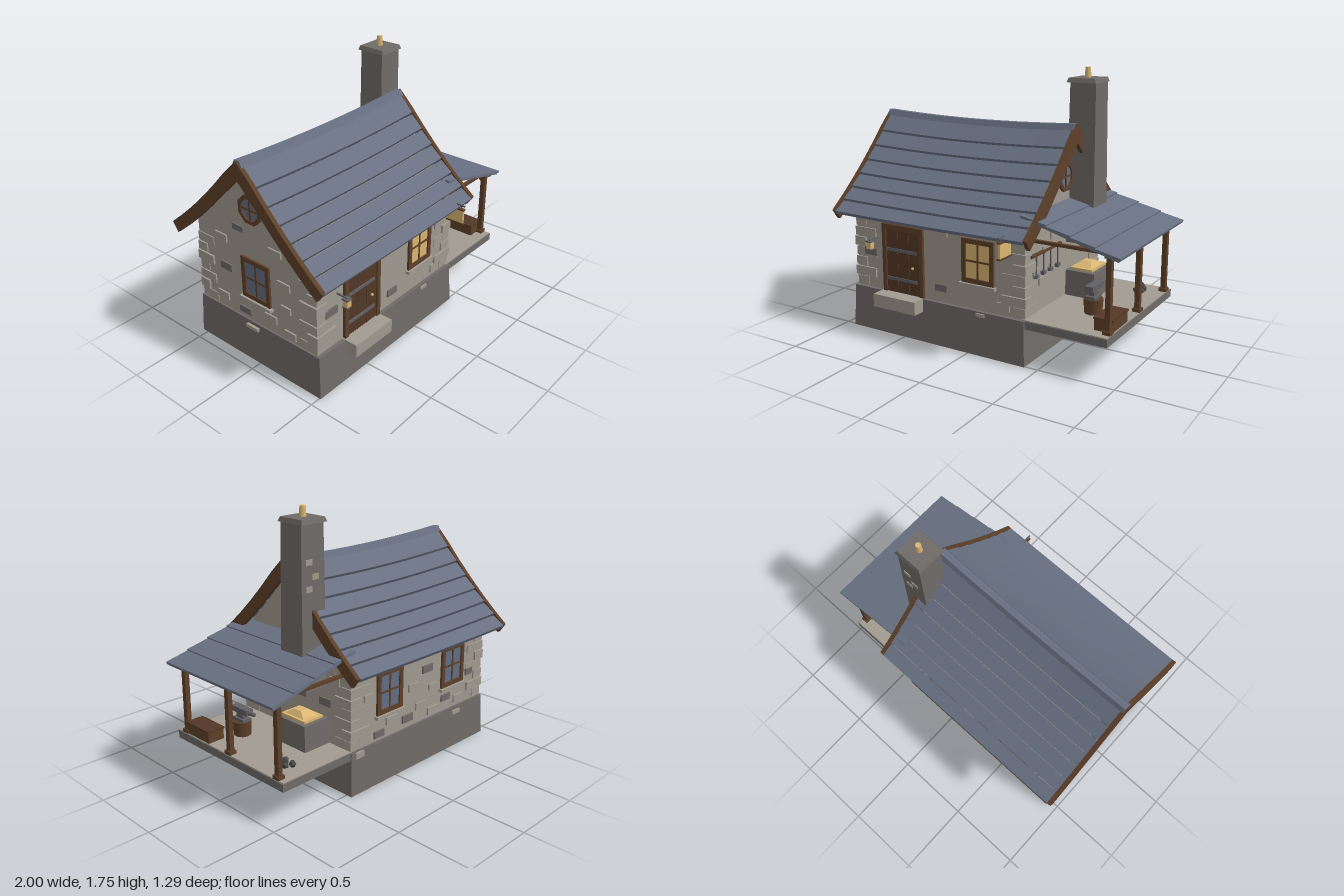
import * as THREE from 'three';

const mat = (name, color, side = THREE.FrontSide) => {
  const m = new THREE.MeshStandardMaterial({ color, side });
  m.name = name;
  return m;
};

export function createModel() {
  const plaster = mat('pale wall', 0xa19b90), stone = mat('dark stone', 0x6f6b68, THREE.DoubleSide);
  const slate = mat('blue slate', 0x687082), wood = mat('oak', 0x5e402a), door = mat('dark oak', 0x523726);
  const iron = mat('iron', 0x616164), gold = mat('warm yellow', 0xdab672), glass = mat('blue glass', 0x626d84);
  const coal = mat('coal', 0x48484b);
  const root = new THREE.Group();
  root.name = 'stoneForgeCottage';

  const group = (name, parent = root, x = 0, y = 0, z = 0, ry = 0) => {
    const g = new THREE.Group();
    g.name = name;
    g.position.set(x, y, z);
    g.rotation.y = ry;
    parent.add(g);
    return g;
  };
  const add = (name, geo, m, parent = root, x = 0, y = 0, z = 0) => {
    const o = new THREE.Mesh(geo, m);
    o.name = name;
    o.position.set(x, y, z);
    parent.add(o);
    return o;
  };
  const box = (name, m, parent, x, y, z, w, h, d) => add(name, new THREE.BoxGeometry(w, h, d), m, parent, x, y, z);
  // box given by its limits
  const span = (name, m, x0, x1, y0, y1, z0, z1) =>
    box(name, m, root, (x0 + x1) / 2, (y0 + y1) / 2, (z0 + z1) / 2, x1 - x0, y1 - y0, z1 - z0);
  const warp = (geo, fn) => {
    const p = geo.attributes.position, v = new THREE.Vector3();
    for (let i = 0; i < p.count; i++) {
      fn(v.fromBufferAttribute(p, i));
      p.setXYZ(i, v.x, v.y, v.z);
    }
    geo.computeVertexNormals();
    return geo;
  };
  // block whose top is scaled by sx and sz
  const taper = (w, h, d, sx, sz) => warp(new THREE.BoxGeometry(w, h, d), v => {
    if (v.y > 0) { v.x *= sx; v.z *= sz; }
  });
  // bar between two points
  const bar = (name, m, parent, a, b, t) => {
    const A = new THREE.Vector3(...a), B = new THREE.Vector3(...b);
    const o = box(name, m, parent, 0, 0, 0, t, t, A.distanceTo(B));
    o.position.copy(A).add(B).multiplyScalar(0.5);
    o.quaternion.setFromUnitVectors(new THREE.Vector3(0, 0, 1), B.sub(A).normalize());
  };

  // foundation, open underneath
  const base = taper(1.34, 0.285, 1.05, 0.982, 0.976);
  const idx = Array.from(base.index.array);
  base.setIndex([...idx.slice(0, 18), ...idx.slice(24)]);
  base.clearGroups();
  add('foundation', base, stone, root, -0.26, 0.1425, -0.015);
  span('floor', stone, -0.91, 0.39, 0.225, 0.24, -0.52, 0.49);
  span('doorStep', plaster, -0.69, -0.352, 0.2, 0.287, 0.43, 0.585);
  span('foundationStone', plaster, 0.06, 0.12, 0.255, 0.275, 0.48, 0.508);
  span('foundationStone', plaster, -0.938, -0.9, 0.24, 0.262, -0.1, 0);
  span('foundationStone', plaster, -0.66, -0.58, 0.235, 0.262, -0.541, -0.5);
  span('foundationStone', plaster, 0.3, 0.37, 0.24, 0.28, -0.541, -0.5);

  // walls with gables follow the roof curve
  const CX = -0.2575, CZ = -0.02, HW = 0.648, HD = 0.492, EAVE = 0.625;
  const roofY = d => 1.423 - 1.2 * d + 0.335 * d * d;
  const ds = [0, 0.16, 0.32, HD];
  const side = ds.map(d => new THREE.Vector2(d, roofY(d) - 0.06));
  const wallShape = new THREE.Shape([new THREE.Vector2(-HD, 0.285), new THREE.Vector2(HD, 0.285),
    ...side.slice(1).reverse(), side[0], ...side.slice(1).map(p => new THREE.Vector2(-p.x, p.y))]);
  const wallGeo = new THREE.ExtrudeGeometry(wallShape, { depth: 2 * HW, bevelEnabled: false });
  wallGeo.translate(0, 0, -HW).rotateY(Math.PI / 2);
  add('walls', wallGeo, plaster, root, CX, 0, CZ);

  // corner stones
  for (const sx of [-1, 1]) for (const sz of [-1, 1]) for (let i = 0; i < 7; i++) {
    const lx = i % 2 ? 0.17 : 0.09, lz = i % 2 ? 0.08 : 0.14, out = 0.005 + 0.004 * ((i * 2) % 3);
    box('cornerStone', plaster, root, CX + sx * (HW + out - lx / 2), 0.322 + i * 0.068,
      CZ + sz * (HD + out - lz / 2), lx, 0.06, lz);
  }

  // wall faces, each with local +z outwards
  const front = group('frontFace', root, CX, 0, CZ + HD);
  const back = group('backFace', root, CX, 0, CZ - HD, Math.PI);
  const right = group('rightFace', root, CX - HW, 0, CZ, -Math.PI / 2);
  const left = group('leftFace', root, CX + HW, 0, CZ, Math.PI / 2);
  const stones = (face, list) => list.forEach(([u, y, w, h, dark]) =>
    box('wallStone', dark ? stone : plaster, face, u, y, 0, w, h, 0.022));
  stones(front, [[0.04, 0.745, 0.1, 0.05], [0.04, 0.38, 0.09, 0.045, 1], [0.5, 0.34, 0.09, 0.055],
    [-0.53, 0.535, 0.1, 0.05, 1]]);
  stones(back, [[-0.54, 0.36, 0.1, 0.05], [-0.4, 0.33, 0.09, 0.045, 1], [-0.28, 0.39, 0.11, 0.05],
    [-0.13, 0.35, 0.1, 0.05, 1], [0.0, 0.4, 0.1, 0.05], [0.13, 0.33, 0.11, 0.05], [0.26, 0.38, 0.09, 0.045, 1],
    [0.4, 0.34, 0.1, 0.05], [-0.08, 0.55, 0.09, 0.05], [0.06, 0.64, 0.1, 0.05, 1], [0.12, 0.5, 0.08, 0.04],
    [0.0, 0.74, 0.1, 0.045], [-0.5, 0.6, 0.08, 0.045], [0.51, 0.5, 0.07, 0.045, 1]]);
  stones(right, [[-0.3, 0.37, 0.1, 0.05], [-0.1, 0.34, 0.1, 0.045, 1], [0.12, 0.38, 0.1, 0.05],
    [0.28, 0.33, 0.09, 0.05], [-0.25, 0.6, 0.1, 0.05, 1], [0.24, 0.66, 0.1, 0.05], [0.25, 0.5, 0.08, 0.045],
    [-0.28, 0.8, 0.1, 0.05], [0.18, 0.86, 0.1, 0.045], [-0.12, 0.92, 0.09, 0.04, 1]]);
  stones(left, [[-0.14, 0.74, 0.09, 0.05], [-0.22, 0.68, 0.13, 0.025], [0.28, 0.555, 0.1, 0.05, 1],
    [0.36, 0.71, 0.09, 0.05], [-0.27, 0.48, 0.12, 0.045], [0.16, 0.71, 0.08, 0.05], [-0.36, 0.55, 0.08, 0.04]]);

  // windows
  const windowAt = (face, u, pane) => {
    const g = group('window', face, u, 0.597, 0), w = 0.234, h = 0.283, t = 0.03;
    box('pane', pane, g, 0, 0, 0.001, w - t, h - t, 0.008);
    for (const s of [-1, 1]) {
      box('frameSide', wood, g, s * (w - t) / 2, 0, 0, t, h, 0.03);
      box('frameRail', wood, g, 0, s * (h - t) / 2, 0, w, t, 0.03);
    }
    box('mullion', wood, g, 0, 0, 0.002, 0.012, h - t, 0.016);
    box('crossBar', wood, g, 0, 0, 0.002, w - t, 0.012, 0.016);
    box('sill', plaster, g, 0, -h / 2 - 0.01, 0.005, 0.265, 0.02, 0.05);
  };
  windowAt(front, 0.319, gold);
  windowAt(back, -0.3075, glass);
  windowAt(back, 0.3225, glass);
  windowAt(right, 0.01, glass);
  for (const face of [right, left]) {
    const g = group('roundWindow', face, 0, 1.08, 0);
    const disc = add('roundPane', new THREE.CylinderGeometry(0.075, 0.075, 0.008, 8), glass, g, 0, 0, 0.003);
    disc.rotation.set(Math.PI / 2, Math.PI / 8, 0);
    const ring = new THREE.Shape().absarc(0, 0, 0.098, 0, 2 * Math.PI);
    ring.holes.push(new THREE.Path().absarc(0, 0, 0.073, 0, 2 * Math.PI, true));
    const frame = add('octagonFrame', new THREE.ExtrudeGeometry(ring, { depth: 0.018, bevelEnabled: false, curveSegments: 4 }), wood, g);
    frame.rotation.z = Math.PI / 8;
    box('mullion', wood, g, 0, 0, 0.006, 0.012, 0.14, 0.016);
    box('crossBar', wood, g, 0, 0, 0.006, 0.14, 0.012, 0.016);
  }

  // door
  const d = group('door', front, -0.516 - CX, 0, 0);
  box('doorPanel', door, d, 0, 0.5, 0, 0.27, 0.43, 0.02);
  for (const s of [-1, 1]) {
    box('doorPost', wood, d, s * 0.149, 0.515, 0, 0.03, 0.46, 0.04);
    box('plankSeam', wood, d, s * 0.045, 0.5, 0.009, 0.005, 0.43, 0.006);
    box('strapHinge', iron, d, -0.012, 0.478 + s * 0.098, 0.011, 0.245, 0.02, 0.012);
  }
  box('lintel', wood, d, 0, 0.728, 0, 0.328, 0.036, 0.044);
  add('knob', new THREE.SphereGeometry(0.01, 8, 6), gold, d, 0.083, 0.475, 0.02);

  // sagging plank roof with undercut laps; the back half is the front half turned round
  const RW = 1.43, roof = group('mainRoof', root, -0.2625, 0, CZ);
  const sag = (x, k) => 0.022 * (1 - (2 * x / RW) ** 2) * (1 - 0.75 * k / EAVE);
  for (const ry of [0, Math.PI]) {
    const half = group('roofHalf', roof, 0, 0, 0, ry);
    for (let i = 0; i < 7; i++) {
      const step = (EAVE - 0.04) / 7, d0 = i ? 0.04 + i * step : 0, d1 = 0.04 + (i + 1) * step;
      add('roofCourse', warp(new THREE.BoxGeometry(RW, 1, 1, 10), v => {
        const low = v.z > 0, up = v.y > 0, k = low ? d1 : d0;
        v.y = roofY(k) + (low ? (up ? 0.01 : -0.013) : (up ? -0.004 : -0.03)) - sag(v.x, k);
        v.z = low && !up ? k - 0.014 : k;
      }), slate, half);
    }
  }
  add('ridgeCap', warp(new THREE.BoxGeometry(RW + 0.02, 1, 1, 10), v => {
    const up = v.y > 0;
    v.z = Math.sign(v.z) * (up ? 0.02 : 0.045);
    v.y = (up ? 1.418 : 1.363) - sag(v.x, 0);
  }), slate, roof);

  // bargeboards at both gable ends
  const outer = [], inner = [];
  for (let i = 0; i <= 6; i++) {
    const q = i * EAVE / 6, n = new THREE.Vector2(1.2 - 0.67 * q, 1).normalize();
    outer.push(new THREE.Vector2(q, roofY(q) + (i ? 0.013 : -0.005)));
    if (i !== 1) inner.push(i ? new THREE.Vector2(q - n.x * 0.07, roofY(q) - n.y * 0.063) : new THREE.Vector2(0, 1.3));
  }
  const flip = p => new THREE.Vector2(-p.x, p.y);
  const bargeShape = new THREE.Shape([...outer, ...inner.slice(1).reverse(), inner[0],
    ...inner.slice(1).map(flip), ...outer.slice(1).reverse().map(flip)]);
  for (const x of [-0.998, 0.451]) {
    const g = new THREE.ExtrudeGeometry(bargeShape, { depth: 0.028, bevelEnabled: false }).rotateY(Math.PI / 2);
    add('bargeboard', g, wood, root, x, 0, CZ);
  }

  // chimney, hood and forge
  add('chimneyStack', taper(0.195, 0.95, 0.195, 0.9, 0.88), stone, root, 0.466, 1.195, -0.187);
  add('chimneyCap', taper(0.2, 0.028, 0.205, 0.9, 0.9), stone, root, 0.46, 1.675, -0.185);
  add('chimneyPot', new THREE.CylinderGeometry(0.018, 0.022, 0.07, 8), gold, root, 0.458, 1.718, -0.185);
  [[0.5, 1.44], [0.45, 1.35], [0.5, 1.28]].forEach(([x, y]) => box('chimneyStone', plaster, root, x, y, -0.274, 0.05, 0.035, 0.014));
  span('hoodRim', stone, 0.385, 0.572, 0.645, 0.675, -0.32, -0.055);
  add('hood', taper(0.185, 0.09, 0.26, 0.96, 0.75), stone, root, 0.478, 0.72, -0.187);
  add('forge', taper(0.21, 0.172, 0.28, 0.97, 0.95), stone, root, 0.49, 0.371, -0.19);
  span('emberBed', gold, 0.412, 0.565, 0.455, 0.472, -0.295, -0.085);
  add('embers', taper(0.12, 0.035, 0.17, 0.5, 0.35), gold, root, 0.49, 0.487, -0.185);

  // porch floor, posts and beams
  span('porchSlab', stone, 0.38, 0.94, 0.235, 0.285, -0.52, 0.487);
  span('porchPaving', plaster, 0.38, 0.935, 0.284, 0.29, -0.515, 0.482);
  for (const z of [0.417, -0.014, -0.453]) {
    span('post', wood, 0.897, 0.929, 0.29, 0.77, z - 0.017, z + 0.017);
    span('postFoot', wood, 0.888, 0.938, 0.29, 0.312, z - 0.026, z + 0.026);
    span('rafter', wood, 0.38, 0.92, 0.763, 0.782, z - 0.012, z + 0.012);
    for (const s of [-1, 1]) if (Math.abs(z + s * 0.1) < 0.45)
      bar('brace', wood, root, [0.913, 0.69, z], [0.913, 0.765, z + s * 0.075], 0.018);
  }
  span('porchBeam', wood, 0.9, 0.926, 0.755, 0.775, -0.5, 0.465);

  // porch roof of four lapped planks over a smooth underside
  for (let i = 0; i < 4; i++) {
    const o = box('porchRoofPlank', slate, root, 0.447 + i * 0.157, 0.908 - i * 0.0425, -0.02, 0.172, 0.016, 1.0);
    o.rotation.z = -0.21;
  }
  const lining = box('porchRoofLining', slate, root, 0.682, 0.833, -0.02, 0.64, 0.008, 0.99);
  lining.rotation.z = -0.264;

  // tool rack
  span('rackRail', wood, 0.385, 0.41, 0.657, 0.673, 0.04, 0.42);
  [0.356, 0.264, 0.176, 0.083].forEach((z, i) => {
    span('toolHandle', iron, 0.4, 0.408, 0.54, 0.66, z - 0.004, z + 0.004);
    span('toolHead', iron, 0.393, 0.415, 0.52, 0.54 + 0.004 * (i % 2), z - 0.018, z + 0.018);
  });

  // anvil on a stump
  add('stump', new THREE.CylinderGeometry(0.062, 0.056, 0.095, 10), wood, root, 0.69, 0.3375, 0.15);
  span('anvilFoot', iron, 0.658, 0.722, 0.385, 0.405, 0.1, 0.2);
  span('anvilWaist', iron, 0.672, 0.708, 0.405, 0.445, 0.12, 0.18);
  span('anvilFace', iron, 0.663, 0.717, 0.44, 0.475, 0.07, 0.22);
  const horn = add('anvilHorn', new THREE.CylinderGeometry(0.011, 0.018, 0.05, 8), iron, root, 0.69, 0.456, 0.046);
  horn.rotation.x = -Math.PI / 2;

  // crate and coal heap
  span('crate', wood, 0.815, 0.93, 0.29, 0.36, 0.18, 0.4);
  span('crateLid', door, 0.81, 0.935, 0.36, 0.37, 0.175, 0.405);
  [[0.77, 0.305, -0.34], [0.8, 0.305, -0.38], [0.76, 0.305, -0.4], [0.79, 0.328, -0.37], [0.8, 0.303, -0.335]].forEach(([x, y, z], i) => {
    const o = add('coalLump', new THREE.DodecahedronGeometry(0.024), coal, root, x, y, z);
    o.rotation.set(i, i * 2, i);
  });

  // wall lantern beside the door
  span('lanternBracket', iron, -0.738, -0.728, 0.63, 0.64, 0.46, 0.558);
  box('lanternGlow', gold, root, -0.733, 0.602, 0.55, 0.034, 0.046, 0.034);
  box('lanternCap', iron, root, -0.733, 0.629, 0.55, 0.044, 0.009, 0.044);
  box('lanternFoot', iron, root, -0.733, 0.576, 0.55, 0.04, 0.007, 0.04);

  // plain hanging board
  span('boardBracket', iron, 0.31, 0.32, 0.818, 0.828, 0.46, 0.645);
  for (const z of [0.535, 0.62]) span('boardHook', iron, 0.312, 0.318, 0.79, 0.82, z - 0.003, z + 0.003);
  span('boardPanel', gold, 0.307, 0.323, 0.698, 0.795, 0.518, 0.636);
  for (const y of [0.69, 0.79]) span('boardRail', wood, 0.303, 0.327, y, y + 0.01, 0.513, 0.642);
  return root;
}
